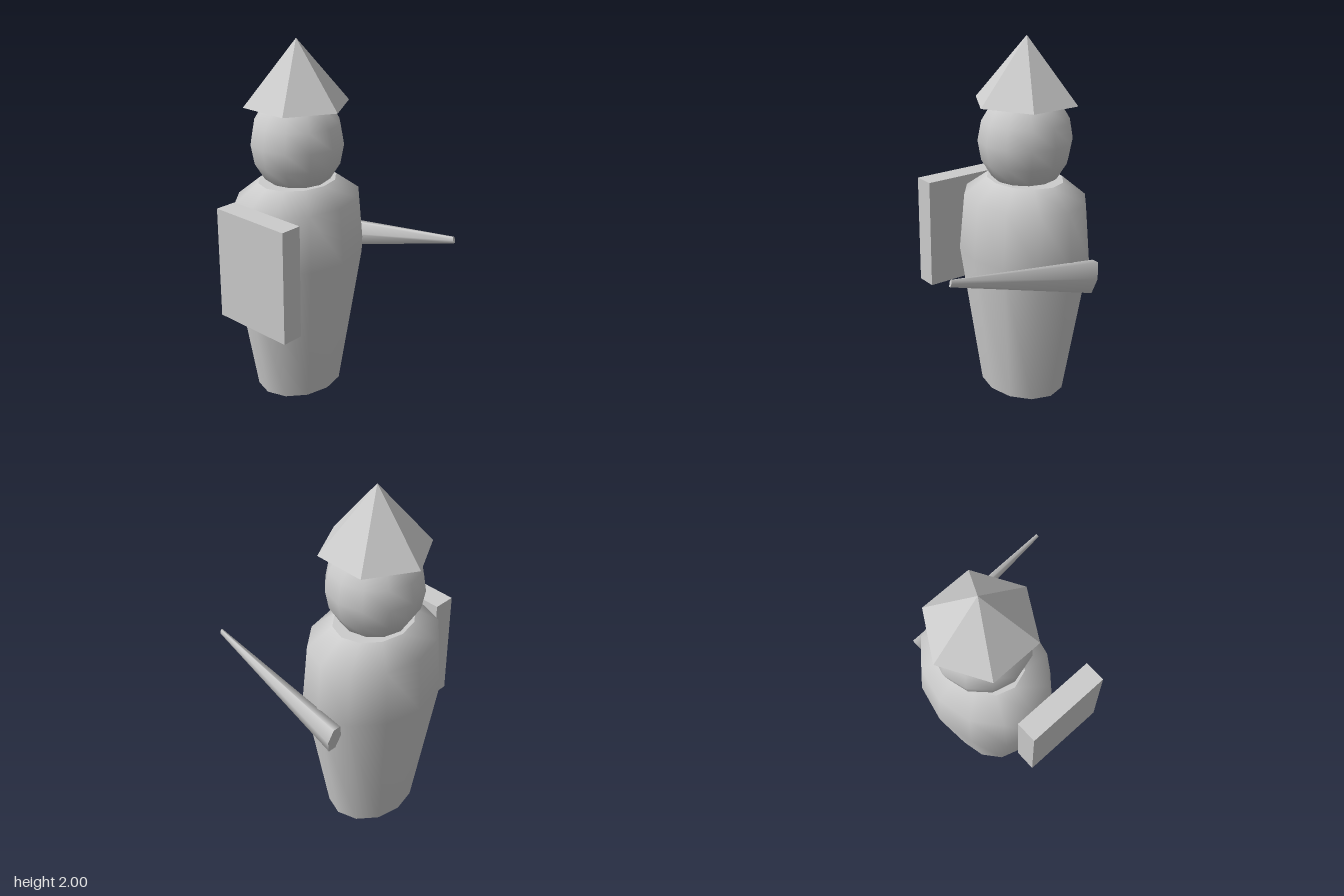
import * as THREE from 'three';

export function createModel() {
  const model = new THREE.Group();
  const stone = new THREE.MeshStandardMaterial({ color: 0xcccccc });
  stone.name = 'plain grey';
  const CX = 0.012, CZ = -0.211; // axis of the figure

  function add(name, geometry, x, y, z) {
    const mesh = new THREE.Mesh(geometry, stone);
    mesh.name = name;
    mesh.position.set(x, y, z);
    model.add(mesh);
    return mesh;
  }

  // Robed body: twelve-sided oval lathe with flat caps
  const profile = [[0.266, 0], [0.408, 0.83], [0.377, 1.14], [0.235, 1.24]];
  const oval = 0.825;
  const robe = new THREE.LatheGeometry(profile.map(([r, y]) => new THREE.Vector2(r, y)), 12);
  add('robe', robe.scale(1, 1, oval), CX, 0, CZ);
  const base = new THREE.CircleGeometry(0.266, 12).rotateX(Math.PI / 2);
  add('robeBase', base.scale(1, 1, oval), CX, 0, CZ);
  const collar = new THREE.CircleGeometry(0.235, 12).rotateX(-Math.PI / 2);
  add('collar', collar.scale(1, 1, oval), CX, 1.24, CZ);

  // Head
  add('head', new THREE.SphereGeometry(0.256, 12, 8).scale(1, 1.1, 1), CX, 1.45, CZ);

  // Six-sided pointed hat, faceted
  const hat = new THREE.ConeGeometry(0.29, 0.345, 6).toNonIndexed();
  hat.computeVertexNormals();
  add('hat', hat, CX, 1.8275, CZ);

  // Shield on the right side
  add('shield', new THREE.BoxGeometry(0.12, 0.62, 0.48), -0.42, 0.865, -0.075);

  // Tapered weapon on the left side, pointing forward and slightly up
  const spike = new THREE.CylinderGeometry(0.02, 0.1, 0.919, 6);
  spike.rotateY(Math.PI / 2).scale(0.45, 1, 1);
  const weapon = add('weapon', spike, 0.4265, 0.865, 0.1015);
  weapon.rotation.set(Math.atan2(0.897, 0.2), 0, 0.0076);

  return model;
}
